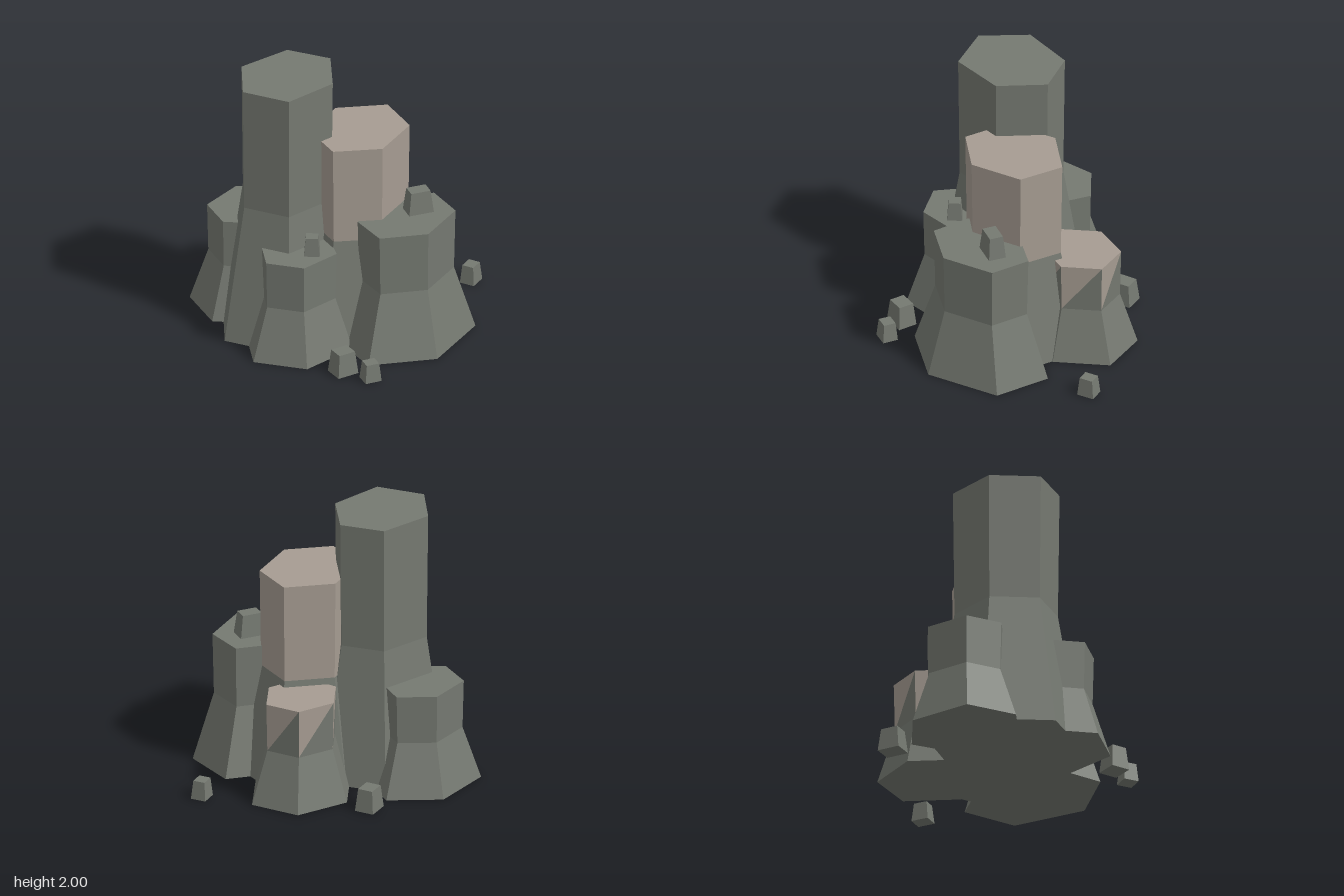
import * as THREE from 'three';

const stone = new THREE.MeshStandardMaterial({ color: 0x757971 });
stone.name = 'greyStone';
const pale = new THREE.MeshStandardMaterial({ color: 0xa69c92 });
pale.name = 'paleStone';

// Six-sided column: flared foot, slightly pinched waist, flat top.
// top: [x, z] corners, anticlockwise from above; paleBand: how much of the upper band is pale.
function column(name, h, top, paleBand = 'none') {
  const n = top.length;
  const cx = top.reduce((s, p) => s + p[0], 0) / n;
  const cz = top.reduce((s, p) => s + p[1], 0) / n;
  const ring = (y, s) => top.map(([x, z]) => [cx + (x - cx) * s, y, cz + (z - cz) * s]);
  const foot = ring(0, 1.41), waist = ring(h * 0.52, 0.97), rim = ring(h, 1);
  const grey = [], light = [];
  const tri = (list, a, b, c) => list.push(...a, ...b, ...c);
  const upper = paleBand === 'none' ? grey : light;
  const lower = paleBand === 'all' ? light : grey;
  for (let i = 0; i < n; i++) {
    const j = (i + 1) % n;
    tri(grey, foot[i], foot[j], waist[j]);
    tri(grey, foot[i], waist[j], waist[i]);
    tri(lower, waist[i], waist[j], rim[j]);
    tri(upper, waist[i], rim[j], rim[i]);
    tri(upper, [cx, h, cz], rim[i], rim[j]);
    tri(grey, [cx, 0, cz], foot[j], foot[i]);
  }
  const geo = new THREE.BufferGeometry();
  geo.setAttribute('position', new THREE.Float32BufferAttribute([...grey, ...light], 3));
  geo.addGroup(0, grey.length / 3, 0);
  if (light.length) geo.addGroup(grey.length / 3, light.length / 3, 1);
  geo.computeVertexNormals();
  const mesh = new THREE.Mesh(geo, [stone, pale]);
  mesh.name = name;
  return mesh;
}

// Small loose block, narrower at the top
function rubble(name, x, y, z, w, h, d, turn) {
  const geo = new THREE.BoxGeometry(w, h, d).translate(0, h / 2, 0);
  const p = geo.attributes.position;
  for (let i = 0; i < p.count; i++) {
    if (p.getY(i) > h / 2) p.setXYZ(i, p.getX(i) * 0.78, h, p.getZ(i) * 0.78);
  }
  const flat = geo.toNonIndexed();
  flat.computeVertexNormals();
  const mesh = new THREE.Mesh(flat, stone);
  mesh.name = name;
  mesh.position.set(x, y, z);
  mesh.rotation.y = turn;
  return mesh;
}

export function createModel() {
  const group = new THREE.Group();
  group.name = 'rockColumns';

  // Columns
  group.add(
    column('tallColumn', 2,
      [[-0.345, 0.725], [0.005, 0.63], [0.08, 0.22], [-0.17, -0.06], [-0.49, 0.04], [-0.59, 0.44]]),
    column('paleColumn', 1.56,
      [[0.22, 0.39], [0.47, 0.13], [0.4, -0.265], [0.085, -0.4], [-0.175, -0.125], [-0.1, 0.26]], 'all'),
    column('backColumn', 0.765,
      [[0.066, -0.185], [0.175, -0.46], [0.015, -0.71], [-0.25, -0.675], [-0.36, -0.4], [-0.205, -0.16]], 'half'),
    column('leftColumn', 0.97,
      [[0.625, 0.355], [0.855, 0.08], [0.785, -0.315], [0.5, -0.42], [0.275, -0.14], [0.345, 0.262]]),
    column('frontColumn', 0.765,
      [[-0.01, 0.87], [0.25, 0.755], [0.295, 0.44], [0.05, 0.25], [-0.21, 0.365], [-0.235, 0.66]]),
    column('rightColumn', 0.765,
      [[-0.64, 0.59], [-0.4, 0.435], [-0.41, 0.095], [-0.67, -0.055], [-0.9, 0.125], [-0.89, 0.465]])
  );

  // Loose blocks: x, y, z, width, height, depth, turn
  [
    [0.575, 0.97, -0.15, 0.13, 0.172, 0.19, -0.52],
    [0.15, 0.765, 0.543, 0.114, 0.14, 0.11, 0.65],
    [0.567, 0, 0.7, 0.147, 0.175, 0.168, -0.33],
    [0.787, 0, 0.657, 0.115, 0.14, 0.125, -0.48],
    [0.433, 0, -0.925, 0.114, 0.14, 0.13, 0.19],
    [-0.66, 0, -0.374, 0.146, 0.17, 0.17, 0.15],
  ].forEach((b, i) => group.add(rubble(`looseBlock${i + 1}`, ...b)));

  return group;
}
